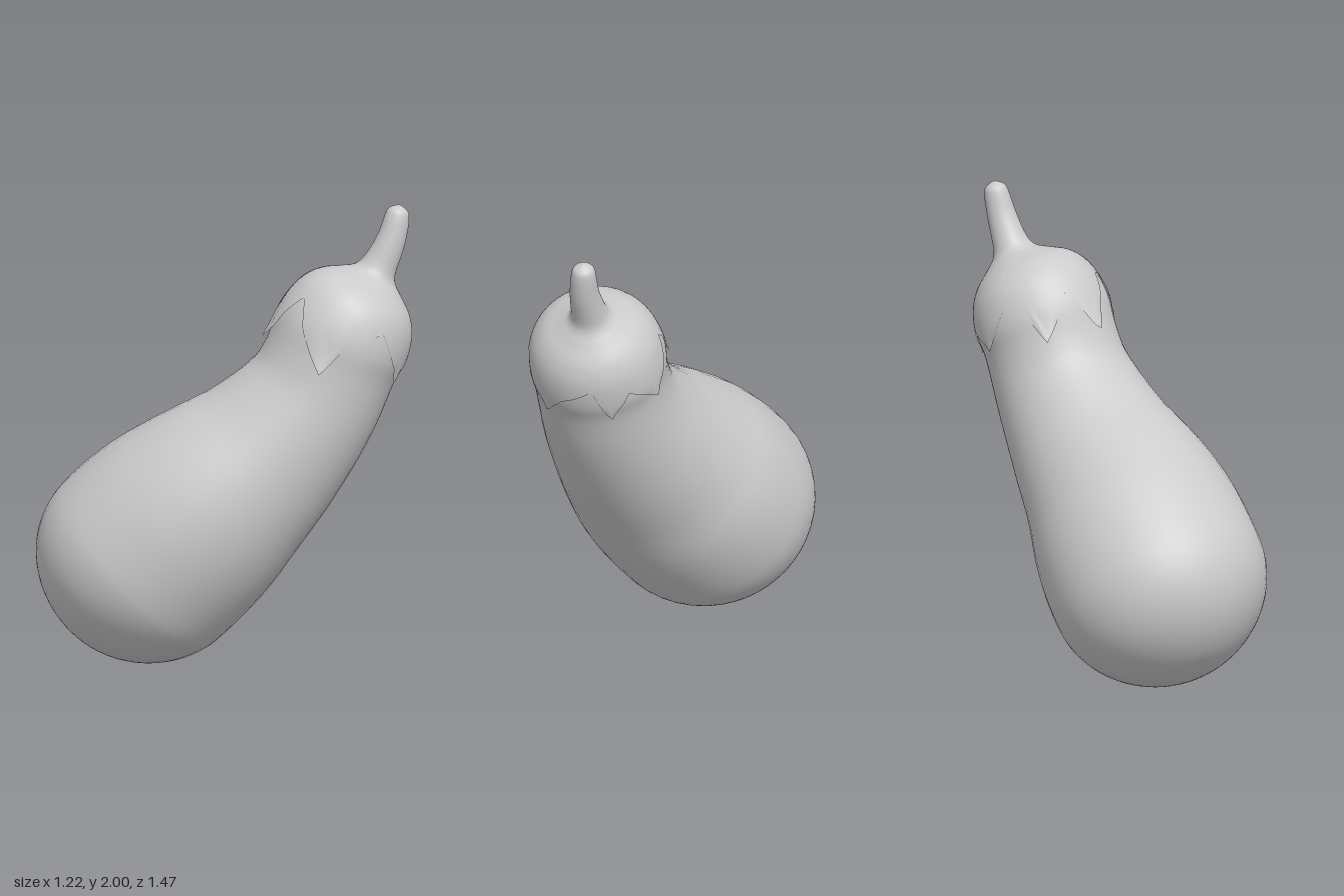
import * as THREE from 'three';

const V = (x, y, z) => new THREE.Vector3(x, y, z);

// Bent centre line, from the blossom end up to the tip of the stem
const spine = new THREE.CatmullRomCurve3([
  V(-0.314, 0.13, -0.535), V(-0.152, 0.459, -0.275), V(-0.026, 0.724, -0.016), V(0.112, 0.95, 0.186),
  V(0.224, 1.18, 0.335), V(0.31, 1.45, 0.43), V(0.425, 1.7, 0.515), V(0.475, 1.85, 0.565), V(0.51, 2.0, 0.585),
]);
const LENGTH = 2.385;

// Radius profile: distance along the centre line, radius
const bulb = [0, 15, 30, 45, 60, 75, 90].map((d) => {
  const a = THREE.MathUtils.degToRad(d);
  return new THREE.Vector2(0.45 - 0.45 * Math.cos(a), 0.47 * Math.sin(a));
});
const upper = [
  [0.65, 0.463], [0.85, 0.432], [1.18, 0.355], [1.48, 0.3], [1.65, 0.287], [1.78, 0.293], [1.9, 0.266], [1.98, 0.212],
  [2.035, 0.135], [2.07, 0.09], [2.12, 0.07], [2.236, 0.057], [2.33, 0.048], [2.365, 0.035], [2.385, 0],
].map(([s, r]) => new THREE.Vector2(s, r));
const profile = new THREE.SplineCurve([...bulb, ...upper]);

// Profile parameter at a given distance along the centre line
function paramAt(s) {
  let lo = 0, hi = 1;
  for (let i = 0; i < 30; i++) {
    const mid = (lo + hi) / 2;
    if (profile.getPoint(mid).x < s) lo = mid; else hi = mid;
  }
  return lo;
}

// Point on the skin around the centre line
function skinPoint(t, angle, offset) {
  const p = profile.getPoint(t);
  const u = THREE.MathUtils.clamp(p.x / LENGTH, 0, 1);
  const tangent = spine.getTangentAt(u);
  const e2 = tangent.clone().cross(V(0.82, 0, -0.57)).normalize();
  const e1 = e2.clone().cross(tangent);
  const r = Math.max(p.y, 0) + (p.y > 0.001 ? offset : 0);
  return spine.getPointAt(u)
    .addScaledVector(e1, r * Math.cos(angle))
    .addScaledVector(e2, r * Math.sin(angle));
}

// Closed-around grid of rings; pointAt(v, angle) with v from 0 to 1
function skin(rings, sides, pointAt) {
  const pos = [], index = [];
  for (let i = 0; i <= rings; i++) {
    for (let j = 0; j < sides; j++) {
      pos.push(...pointAt(i / rings, (j / sides) * Math.PI * 2).toArray());
      if (i === rings) continue;
      const k = (j + 1) % sides, a = i * sides, b = a + sides;
      index.push(a + j, a + k, b + j, a + k, b + k, b + j);
    }
  }
  const g = new THREE.BufferGeometry();
  g.setAttribute('position', new THREE.Float32BufferAttribute(pos, 3));
  g.setIndex(index);
  g.computeVertexNormals();
  return g;
}

// Ragged calyx edge: angle in degrees, distance from the widest part of the cap
const edge = [
  [-6, -0.1], [30, 0.11], [51, -0.14], [80, 0.04], [98, -0.146], [128, 0.07], [145, -0.03], [174, -0.15], [188, 0.02],
  [211, 0.09], [240, -0.03], [250, -0.1], [266, 0.03], [295, 0.12], [308, -0.1], [327, 0.06], [354, -0.1], [390, 0.11],
];
function edgeAt(angle) {
  const d = THREE.MathUtils.radToDeg(angle);
  const i = edge.findIndex((e) => e[0] > d);
  const [a, b] = [edge[i - 1], edge[i]];
  return 1.78 + THREE.MathUtils.mapLinear(d, a[0], b[0], a[1], b[1]);
}

export function createModel() {
  const group = new THREE.Group();
  const material = new THREE.MeshStandardMaterial({ color: 0xcccccc });
  const thin = new THREE.MeshStandardMaterial({ color: 0xcccccc, side: THREE.DoubleSide });

  // Fruit, ending out of sight under the cap
  const top = paramAt(2.02);
  const body = new THREE.Mesh(skin(64, 48, (v, a) => skinPoint(v * top, a, 0)), material);
  body.name = 'fruitBody';

  // Leafy cap with pointed lobes curling off at their tips, running up into the stem
  const starts = new Map();
  const calyx = new THREE.Mesh(skin(50, 120, (v, a) => {
    const s = edgeAt(a);
    if (!starts.has(a)) starts.set(a, paramAt(s));
    const curl = Math.max(0, 1 - v * 15) * Math.max(0, (1.72 - s) / 0.09);
    return skinPoint(THREE.MathUtils.lerp(starts.get(a), 1, v), a, 0.005 + 0.025 * curl);
  }), thin);
  calyx.name = 'calyxAndStem';

  group.add(body, calyx);
  return group;
}
